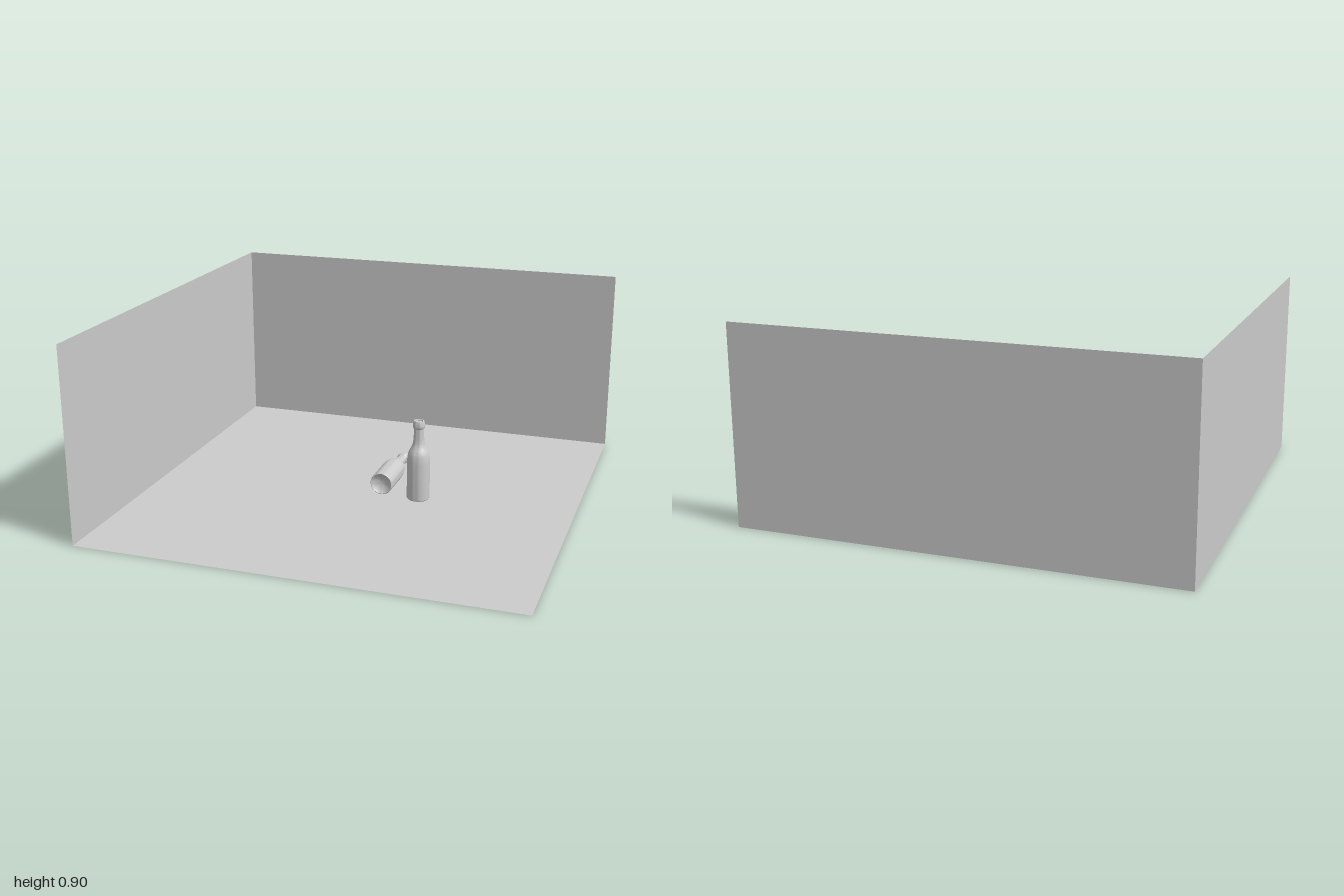
import * as THREE from 'three';
import { toCreasedNormals } from 'three/addons/utils/BufferGeometryUtils.js';

const material = new THREE.MeshStandardMaterial({ color: 0xcccccc, side: THREE.DoubleSide });
const toVectors = (list) => list.map(([x, y]) => new THREE.Vector2(x, y));

// Bottle turned around y: domed hollow base, straight body, sloped shoulder, neck and lip
function bottleGeometry() {
  const base = toVectors([[0, 0.022], [0.02, 0.019], [0.036, 0.012], [0.046, 0.004], [0.05, 0], [0.0535, 0.004]]);
  const shoulder = new THREE.SplineCurve(toVectors([
    [0.0545, 0.17], [0.053, 0.2], [0.047, 0.232], [0.034, 0.258], [0.027, 0.28], [0.024, 0.315], [0.0225, 0.347],
  ])).getPoints(24);
  const lip = toVectors([[0.027, 0.351], [0.0285, 0.36], [0.027, 0.374], [0.0245, 0.385], [0.019, 0.385], [0.018, 0.378], [0, 0.378]]);
  const lathe = new THREE.LatheGeometry([...base, ...shoulder, ...lip], 40);
  return toCreasedNormals(lathe, 0.7);
}

export function createModel() {
  const model = new THREE.Group();
  const add = (name, geometry, x, y, z) => {
    const mesh = new THREE.Mesh(geometry, material);
    mesh.name = name;
    mesh.position.set(x, y, z);
    model.add(mesh);
    return mesh;
  };

  // Room: floor and two thin walls meeting in the back corner
  add('floor', new THREE.PlaneGeometry(2, 2), 0, 0, 0).rotation.x = -Math.PI / 2;
  const wall = new THREE.PlaneGeometry(2, 0.9);
  add('backWall', wall, 0, 0.45, -1);
  add('sideWall', wall, -1, 0.45, 0).rotation.y = Math.PI / 2;

  // One bottle upright, one lying with its neck to the back
  const bottle = bottleGeometry();
  add('standingBottle', bottle, 0.265, 0.001, 0.02);
  add('lyingBottle', bottle, 0.088, 0.056, 0.04).rotation.x = -Math.PI / 2;

  return model;
}
